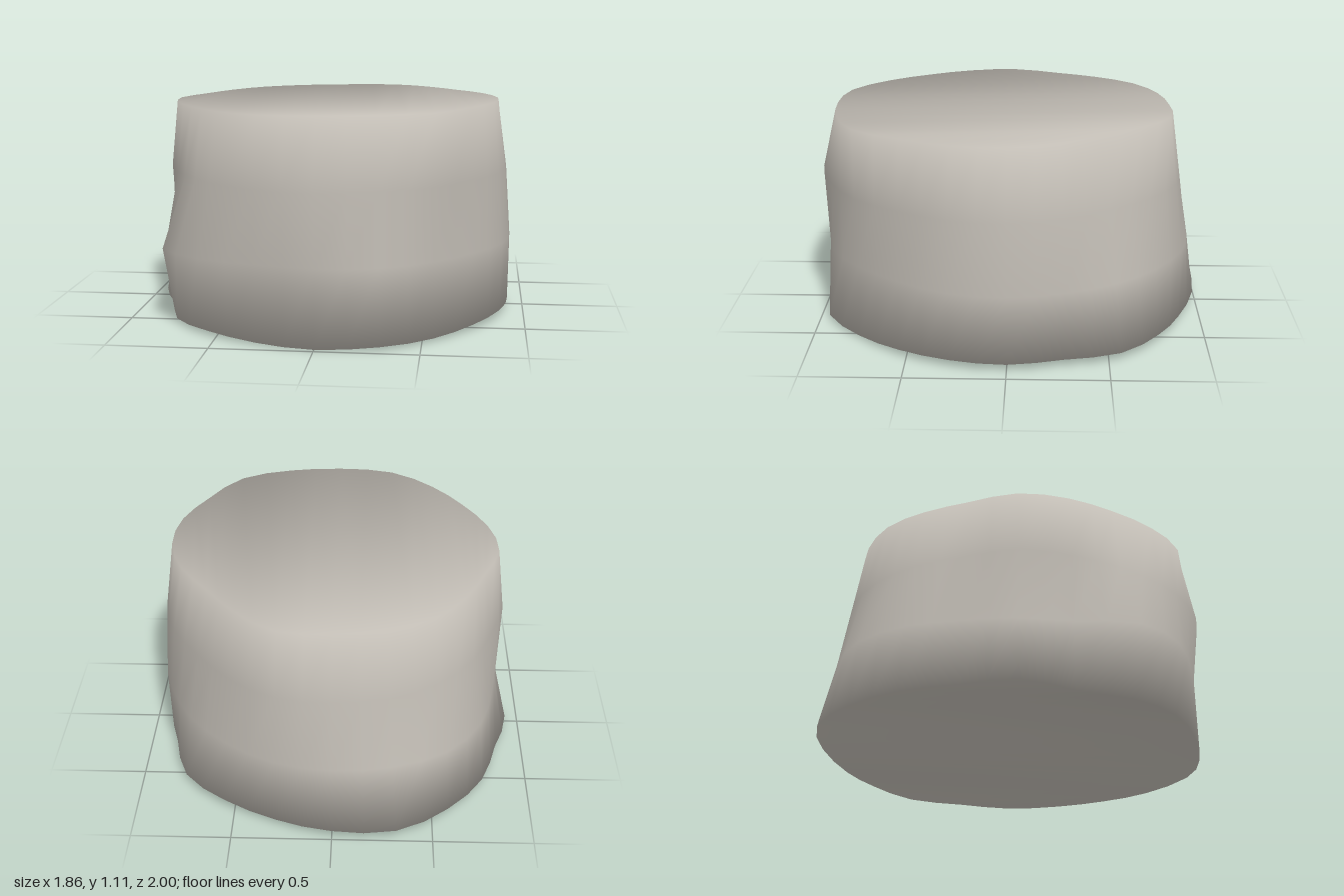
import * as THREE from 'three';

const SIDES = 40;

// Radii of each ring, every 18 degrees from +x towards +z
const RINGS = [
  { y: 0.03, r: [0.92, 0.92, 0.92, 0.94, 1.0, 0.97, 0.95, 0.95, 0.93, 0.87, 0.93, 0.90, 0.95, 0.99, 1.03, 0.985, 0.93, 0.94, 0.955, 0.90] },
  { y: 0.39, r: [0.925, 0.925, 0.91, 0.93, 0.97, 0.96, 0.95, 0.995, 1.0, 0.86, 0.85, 0.86, 0.92, 0.96, 0.95, 0.94, 0.93, 0.91, 0.905, 0.905] },
  { y: 0.75, r: [0.90, 0.90, 0.90, 0.94, 0.96, 1.0, 0.96, 0.91, 0.87, 0.86, 0.87, 0.83, 0.85, 0.87, 0.88, 0.88, 0.89, 0.86, 0.84, 0.87] },
  { y: 1.10, r: [0.85, 0.87, 0.88, 0.94, 0.92, 0.91, 0.92, 0.87, 0.83, 0.83, 0.83, 0.78, 0.79, 0.82, 0.82, 0.82, 0.85, 0.80, 0.77, 0.81] },
];
// Uneven lower edge
const FOOT = [0.04, 0.04, 0.03, 0.015, 0.02, 0.003, 0.01, 0.025, 0.02, 0.03, 0.04, 0.04, 0.04, 0.045, 0.05, 0.045, 0.025, 0.04, 0.04, 0.04];

// Smooth value halfway between table entries, wrapping round the ring
function sample(table, i) {
  const at = (k) => table[(k + table.length) % table.length];
  const k = Math.floor(i / 2);
  if (i % 2 === 0) return at(k);
  return (9 * (at(k) + at(k + 1)) - at(k - 1) - at(k + 2)) / 16;
}

function bodyGeometry() {
  const pos = [];
  RINGS.forEach(({ y, r }, k) => {
    for (let i = 0; i < SIDES; i++) {
      const a = (i / SIDES) * Math.PI * 2;
      const radius = sample(r, i);
      const h = k === 0 ? Math.max(0, sample(FOOT, i)) : k === RINGS.length - 1 ? y + 0.008 * Math.cos(a) : y;
      pos.push(radius * Math.cos(a), h, radius * Math.sin(a));
    }
  });
  const index = [];
  for (let k = 0; k < RINGS.length - 1; k++) {
    for (let i = 0; i < SIDES; i++) {
      const a = k * SIDES + i, b = k * SIDES + (i + 1) % SIDES;
      index.push(a, a + SIDES, b, b, a + SIDES, b + SIDES);
    }
  }
  const geo = new THREE.BufferGeometry();
  geo.setAttribute('position', new THREE.Float32BufferAttribute(pos, 3));
  geo.setIndex(index);
  geo.computeVertexNormals();

  // Blend the rim normals half way into the flat ends
  const normals = geo.attributes.normal, n = new THREE.Vector3();
  const last = (RINGS.length - 1) * SIDES;
  for (let i = 0; i < SIDES; i++) {
    for (const [v, up] of [[i, -1], [last + i, 1]]) {
      n.fromBufferAttribute(normals, v);
      n.y += up;
      n.normalize();
      normals.setXYZ(v, n.x, n.y, n.z);
    }
  }

  // Close both ends with a strip zigzagging between the rim points
  let lo = 0, hi = SIDES - 1;
  const cap = (a, b, c) => index.push(a, b, c, last + a, last + c, last + b);
  while (hi - lo > 1) {
    cap(lo, lo + 1, hi);
    lo++;
    if (hi - lo > 1) {
      cap(lo, hi - 1, hi);
      hi--;
    }
  }
  geo.setIndex(index);
  return geo;
}

export function createModel() {
  const group = new THREE.Group();
  group.name = 'stump';
  const stone = new THREE.MeshStandardMaterial({ color: 0xc1bcb4 });
  stone.name = 'warm grey';
  const body = new THREE.Mesh(bodyGeometry(), stone);
  body.name = 'body';
  group.add(body);
  return group;
}
